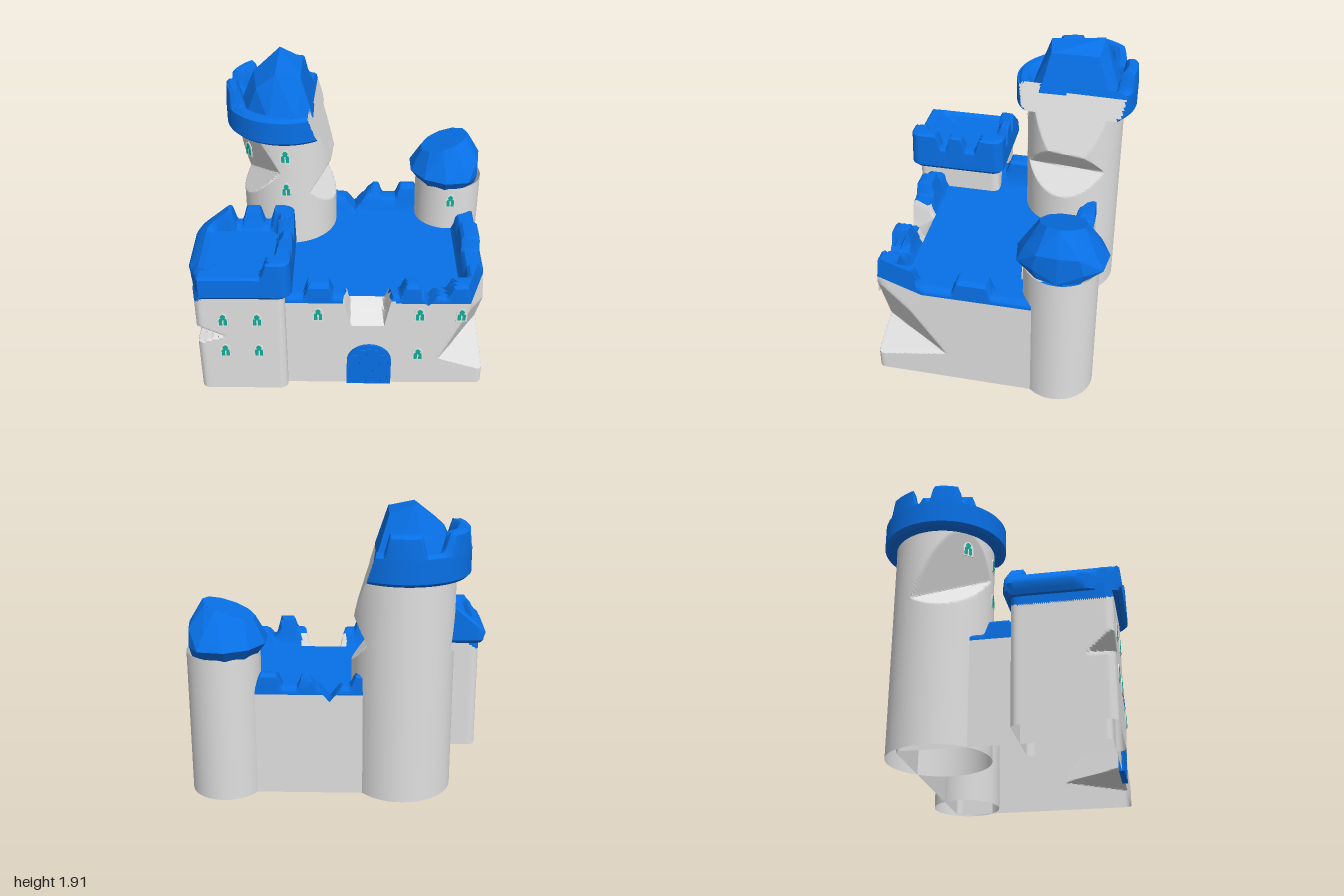
import * as THREE from 'three';
import { toCreasedNormals } from 'three/addons/utils/BufferGeometryUtils.js';
import { ConvexGeometry } from 'three/addons/geometries/ConvexGeometry.js';

const material = (name, color) => {
  const m = new THREE.MeshStandardMaterial({ color, side: THREE.DoubleSide });
  m.name = name;
  return m;
};

const V = (x, y, z) => new THREE.Vector3(x, y, z);
const smooth = THREE.MathUtils.smoothstep;

// Rounded rectangle (or circle) outline around the origin, evenly spaced
function outline(hx, hz, r, n) {
  const s = new THREE.Shape();
  [[1, 1], [-1, 1], [-1, -1], [1, -1]].forEach(([a, b], k) =>
    s.absarc(a * (hx - r), b * (hz - r), r, k * Math.PI / 2, (k + 1) * Math.PI / 2));
  s.closePath();
  return s.getSpacedPoints(n);
}

// Evenly spaced rows of a vertical wall
const wall = (y0, y1, n) => Array.from({ length: n + 1 }, (_, i) => [0, y0 + (y1 - y0) * i / n]);

// Rings of [inset, height]; an inset of 1 closes the ring at the centre
function shell(o, rows, paint, materials) {
  const { cx, cz, hx, hz, r, n } = o;
  const base = outline(hx, hz, r, n), pos = [], index = [];
  rows.forEach(([inset, y]) => base.forEach((b) => {
    const x = cx + (inset >= 1 ? 0 : b.x * (1 - inset / hx));
    const z = cz + (inset >= 1 ? 0 : b.y * (1 - inset / hz));
    const p = V(x, typeof y === 'function' ? y(x, z) : y, z);
    if (o.reshape) o.reshape(p);
    (o.wedges || []).forEach((w) => carve(p, cx, cz, w));
    pos.push(p.x, p.y, p.z);
  }));
  const w = n + 1;
  for (let j = 0; j < rows.length - 1; j++) {
    for (let i = 0; i < n; i++) {
      const a = j * w + i, b = a + w;
      index.push(a, b, b + 1, a, b + 1, a + 1);
    }
  }
  let g = new THREE.BufferGeometry();
  g.setAttribute('position', new THREE.Float32BufferAttribute(pos, 3));
  g.setIndex(index);
  g = toCreasedNormals(g, 0.65);
  // Sort triangles into runs of one material
  const P = g.attributes.position, t = new THREE.Triangle(), c = V(), nor = V();
  let start = 0, last = -1;
  for (let k = 0; k < P.count; k += 3) {
    t.setFromAttributeAndIndices(P, k, k + 1, k + 2);
    t.getMidpoint(c);
    t.getNormal(nor);
    const m = paint(c, nor, Math.floor(k / (6 * n)));
    if (m !== last) {
      if (last >= 0) g.addGroup(start, k - start, last);
      start = k;
      last = m;
    }
  }
  g.addGroup(start, P.count - start, last);
  return new THREE.Mesh(g, materials);
}

// Pull a point toward the tower axis until it leaves the broken-out wedge
function carve(p, cx, cz, planes) {
  const dx = p.x - cx, dz = p.z - cz;
  let t = 0;
  for (const [px, py, pz, nx, ny, nz] of planes) {
    const d = nx * (p.x - px) + ny * (p.y - py) + nz * (p.z - pz);
    if (d <= 0) return;
    const slope = nx * dx + nz * dz;
    if (slope > 0) t = Math.max(t, 1 - d / slope);
  }
  p.x = cx + dx * t;
  p.z = cz + dz * t;
}

// Rounded merlons: list of [x, z, half width]
const merlons = (base, rise, list) => (x, z) => base + rise * Math.max(0, ...list.map(([a, b, h]) =>
  1 - smooth(Math.max(Math.abs(x - a), Math.abs(z - b)), h - 0.02, h + 0.02)));

// Pointed or round arch panel standing on y = 0
function arch(half, straight, top, pointed) {
  const s = new THREE.Shape();
  s.moveTo(-half, 0);
  s.lineTo(half, 0);
  s.lineTo(half, straight);
  if (pointed) {
    s.quadraticCurveTo(half, (straight + top) / 2 + 0.01, 0, top);
    s.quadraticCurveTo(-half, (straight + top) / 2 + 0.01, -half, straight);
  } else s.absellipse(0, straight, half, top - straight, 0, Math.PI, false);
  s.closePath();
  return s;
}

const plate = (shape, depth) =>
  new THREE.ExtrudeGeometry(shape, { depth, bevelEnabled: false, curveSegments: 12 });

export function createModel() {
  const castle = new THREE.Group();
  const stone = material('stone', 0xe0e0e0), blue = material('roof blue', 0x0872ea);
  const teal = material('window teal', 0x10ae98), trim = material('window trim', 0xeeeeee);
  const two = [stone, blue];
  const add = (name, mesh, parent = castle) => {
    mesh.name = name;
    parent.add(mesh);
    return mesh;
  };

  // Main keep with parapet, courtyard floor, front breach and broken corner
  const keepTop = merlons(0.735, 0.085, [[-0.155, 0.65, 0.08], [0.46, 0.65, 0.075], [0.8, 0.65, 0.11],
    [0.88, 0.55, 0.12], [0.88, 0.05, 0.11], [-0.14, -0.55, 0.07], [0.22, -0.55, 0.05],
    [0.47, -0.55, 0.07], [-0.55, 0.03, 0.08]]);
  const breach = (x, z) => 0.5 + (0.7 - z) * 0.7 + Math.max(0, 0.05 - x, x - 0.27) * 5;
  const keepWall = [[0, 0], ...wall(0.08, 0.26, 24), ...wall(0.28, 0.64, 20)];
  add('keep', shell({
    cx: 0.16, cz: 0.05, hx: 0.78, hz: 0.65, r: 0.04, n: 400,
    reshape: (p) => {
      if (p.z > 0.545) p.y = Math.min(p.y, breach(p.x, p.z));
      // Slanting breaks in the front and back parapets
      if (p.z > 0.5 && p.x > 0.5 && p.x < 0.6) p.y = Math.min(p.y, 0.67 + Math.abs(p.x - 0.55) * 1.2);
      if (p.z < -0.4) p.y = Math.min(p.y, 0.64 + Math.abs(p.x - 0.08) * 1.3);
    },
    wedges: [[[0.84, 0.6, 0.7, 0.28, 0.056, 0.1]],
      [[0.64, 0.22, 0.7, 0.154, -0.067, 0.099], [0.64, 0.22, 0.7, 0.045, 0.134, 0.025]]],
  }, [...keepWall, [0, 0.69], [0, 0.71], [0.005, (x, z) => keepTop(x, z) - 0.015], [0.025, keepTop],
    [0.065, keepTop], [0.11, keepTop], [0.13, (x, z) => keepTop(x, z) - 0.02], [0.14, 0.66], [0.16, 0.62], [1, 0.62]],
  (c, n, row) => {
    if (row < keepWall.length) return 0;
    return c.z > 0.545 && c.x > 0 && c.x < 0.34 && c.y < 0.71 ? 0 : 1;
  }, two));

  // Square front tower with a chipped corner, roof colour running down its broken side
  add('squareTower', shell({
    cx: -0.66, cz: 0.46, hx: 0.29, hz: 0.3, r: 0.05, n: 200,
    wedges: [[[-0.765, 0.46, 0.76, -1, -2, 1.87], [-0.765, 0.46, 0.76, -1, 3, 0]]],
  }, wall(0, 0.83, 56), (c) => (c.y > 0.735 + (c.x + 0.95) * 0.6 ? 1 : 0), two));

  // Square tower crown, collapsed along its outer side
  const squareTop = merlons(0.965, 0.11, [[-0.36, 0.73, 0.13], [-0.36, 0.47, 0.055], [-0.36, 0.2, 0.11],
    [-0.6, 0.15, 0.06], [-0.82, 0.15, 0.09]]);
  const fallen = (x, z) => Math.min(squareTop(x, z), 0.88 + (x + 1) * 0.83);
  add('squareTowerCrown', shell({
    cx: -0.66, cz: 0.465, hx: 0.34, hz: 0.345, r: 0.07, n: 240,
    wedges: [[[-1, 0.87, 0.5, -0.9, -0.4, 0]], [[-0.94, 0.8, 0.7, -1, 0, 0.35]]],
  }, [[0.05, 0.79], [0.02, 0.795], [0, 0.82], [0, 0.86], [0.005, (x, z) => fallen(x, z) - 0.015], [0.02, fallen],
    [0.06, fallen], [0.09, fallen], [0.105, (x, z) => fallen(x, z) - 0.02], [0.12, 0.93], [1, 0.93]], () => 1, two));

  // Tall round tower with a sliced side and two gouges
  const slice = [[-0.16, 1.45, -0.39, 0.95, 0.3, 0.04]];
  add('roundTower', shell({
    cx: -0.387, cz: -0.39, hx: 0.33, hz: 0.33, r: 0.33, n: 200,
    wedges: [slice,
      [[-0.2, 1.03, -0.35, 0.17, -0.12, 0.02], [-0.2, 1.03, -0.35, 0.18, 0.15, 0.03]],
      [[-0.59, 1.07, -0.35, -0.57, -0.255, 0.42], [-0.59, 1.07, -0.35, -0.6, 0.5, 0.1]]],
  }, [...wall(0, 0.8, 2), ...wall(0.82, 1.47, 64)], () => 0, two));

  // Round tower crown, with bare stone on the sliced face
  const roundTop = merlons(1.64, 0.12, [[-0.76, -0.3, 0.09], [-0.7, -0.6, 0.09], [-0.38, -0.77, 0.11]]);
  const cutNormal = V(0.95, 0.3, 0.04).normalize();
  add('roundTowerCrown', shell({
    cx: -0.395, cz: -0.39, hx: 0.41, hz: 0.41, r: 0.41, n: 240, wedges: [slice],
  }, [[0.08, 1.445], [0.02, 1.45], [0, 1.47], ...wall(1.48, 1.62, 12), [0.01, (x, z) => roundTop(x, z) - 0.02],
    [0.03, roundTop], [0.07, roundTop], [0.09, (x, z) => roundTop(x, z) - 0.02], [0.11, 1.6], [1, 1.6]],
  (c, n) => (n.dot(cutNormal) > 0.95 && (c.y < 1.6 || c.z > -0.17) ? 0 : 1), two));

  // Broken faceted spire
  const spire = [V(-0.44, 1.91, -0.56), V(-0.45, 1.87, -0.2), V(-0.285, 1.84, -0.22), V(-0.285, 1.84, -0.54),
    V(-0.58, 1.77, -0.2), V(-0.62, 1.77, -0.48), V(-0.203, 1.58, -0.16), V(-0.203, 1.58, -0.64)];
  for (let i = 0; i < 10; i++) {
    const a = i * Math.PI / 5;
    spire.push(V(Math.min(-0.203, -0.4 + 0.31 * Math.cos(a)), 1.58, -0.39 + 0.31 * Math.sin(a)));
  }
  add('spire', new THREE.Mesh(new ConvexGeometry(spire), blue));

  // Small rear tower with a faceted, slanted cap
  const small = new THREE.CylinderGeometry(0.235, 0.235, 0.96, 64, 1, true);
  add('smallTower', new THREE.Mesh(small, stone)).position.set(0.76, 0.48, -0.485);
  const cap = [];
  for (let i = 0; i < 11; i++) {
    const a = i * Math.PI * 2 / 11, c = Math.cos(a), s = Math.sin(a);
    cap.push(V(0.75 + 0.225 * c, 0.95, -0.485 + 0.235 * s));
    cap.push(V(Math.min(0.95, 0.76 + 0.29 * c), 1.025, -0.49 + 0.29 * s));
    cap.push(V(Math.min(0.97, 0.75 + 0.24 * c), 1.1 + 0.04 * c, -0.485 + 0.24 * s));
    cap.push(V(0.715 + 0.165 * c, 1.23 + 0.06 * c, -0.485 + 0.15 * s));
  }
  add('smallTowerCap', new THREE.Mesh(new ConvexGeometry(cap), blue));

  // Arched windows with two panes and a drop-shaped light
  const frameGeo = plate(arch(0.036, 0.055, 0.106, true), 0.005);
  const paneGeo = plate(arch(0.0105, 0.035, 0.052, true), 0.003);
  const drop = new THREE.Shape();
  drop.moveTo(0, -0.024);
  drop.quadraticCurveTo(0.034, 0.006, 0, 0.022);
  drop.quadraticCurveTo(-0.034, 0.006, 0, -0.024);
  const dropGeo = plate(drop, 0.003);
  const addWindow = (x, y, z, turn = 0) => {
    const w = add('window', new THREE.Group());
    add('windowFrame', new THREE.Mesh(frameGeo, trim), w);
    for (const s of [-1, 1]) add('pane', new THREE.Mesh(paneGeo, teal), w).position.set(s * 0.0155, 0.009, 0.004);
    add('topLight', new THREE.Mesh(dropGeo, teal), w).position.set(0, 0.074, 0.004);
    w.position.set(x, y - 0.052, z);
    w.rotation.y = turn;
  };
  for (const x of [-0.77, -0.55]) for (const y of [0.6, 0.34]) addWindow(x, y, 0.7605);
  for (const [x, y] of [[-0.16, 0.6], [0.5, 0.6], [0.77, 0.6], [0.5, 0.26]]) addWindow(x, y, 0.7005);
  for (const y of [1.33, 1.07]) addWindow(-0.395, y, -0.061);
  addWindow(-0.647, 1.33, -0.172, -0.87);
  addWindow(0.765, 0.86, -0.251);

  // Arched gate of upright planks set through the wall
  const gate = add('gate', new THREE.Group());
  gate.position.set(0.175, 0, 0.68);
  const surround = arch(0.148, 0.2, 0.342, false);
  surround.holes.push(arch(0.124, 0.2, 0.318, false));
  add('gateSurround', new THREE.Mesh(plate(surround, 0.036), blue), gate);
  add('gateBack', new THREE.Mesh(plate(arch(0.126, 0.2, 0.32, false), 0.003), blue), gate).position.z = 0.0205;
  for (let i = -2; i <= 2; i++) {
    const x = i * 0.046, h = 0.2 + 0.11 * Math.sqrt(1 - (Math.abs(x) + 0.015) ** 2 / 0.0144);
    add('plank', new THREE.Mesh(new THREE.BoxGeometry(0.036, h, 0.034), blue), gate).position.set(x, h / 2, 0.017);
  }
  return castle;
}
